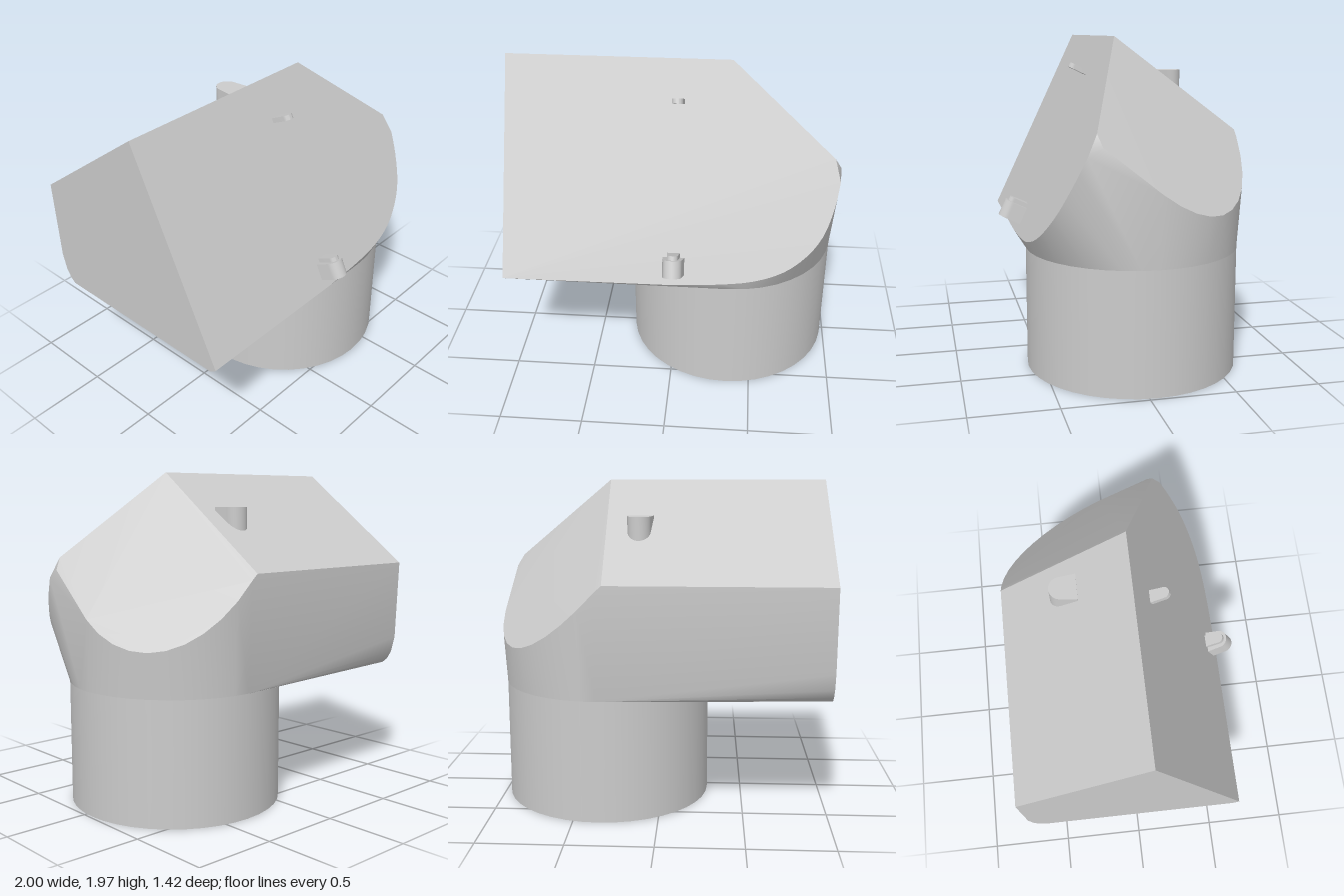
import * as THREE from 'three';
import { ConvexGeometry } from 'three/addons/geometries/ConvexGeometry.js';
import { toCreasedNormals } from 'three/addons/utils/BufferGeometryUtils.js';

const V = (x, y, z) => new THREE.Vector3(x, y, z);
const CX = 0.35, CZ = -0.05, R = 0.635, Y0 = 0.73; // pipe centre, radius and joint height
const SEG = 40;

const frontZ = (y) => 0.05 + (1.965 - y) * 0.473;                             // sloping front plane
const chamferY = (x, z) => (1.065 - 0.511 * x + 0.355 * z) / 0.465;           // sloping corner cut

// D-shaped lug: flat side on the wall, round side out (local y), thickness along local z
function lugGeometry(w, out, thick) {
  const r = w * 0.43;
  const s = new THREE.Shape();
  s.moveTo(-w / 2, 0);
  s.lineTo(w / 2, 0);
  s.lineTo(r, out - r);
  s.absarc(0, out - r, r, 0, Math.PI, false);
  s.closePath();
  const g = new THREE.ExtrudeGeometry(s, { depth: thick, bevelEnabled: false, curveSegments: 8 });
  return toCreasedNormals(g.translate(0, 0, -thick / 2), 0.6);
}

// Convex hood, with its underside left out so that the pipe opens into it
function hoodGeometry() {
  const pts = [];
  // cross-section of the square end
  for (const [z, y] of [[0.05, 1.965], [-0.71, 1.4], [-0.69, 0.91], [-0.665, 0.81],
    [-0.635, 0.76], [-0.6, Y0], [0.58, Y0], [0.62, 0.76]]) pts.push(V(-1, y, z));
  // ridge and back edge where the corner cut starts
  pts.push(V(0.33, 1.965, 0.05), V(0.31, 1.4, -0.71));
  // rounded edge of the sloping front
  const edge = new THREE.CatmullRomCurve3([[0, 0.765], [0.3, 0.78], [0.5, 0.805], [0.67, 0.86],
    [0.8, 0.95], [0.89, 1.06], [0.95, 1.22], [0.975, 1.35]].map(([x, y]) => V(x, y, frontZ(y))));
  pts.push(...edge.getPoints(21), V(0.94, 1.47, frontZ(1.47)), V(0.98, 1.4, 0.26));
  // curved lower edge of the corner cut
  for (let i = 0; i <= 10; i++) {
    const a = (i / 10) * Math.PI / 2;
    const x = CX + 0.65 * Math.cos(a), z = -0.06 - 0.65 * Math.sin(a);
    pts.push(V(x, chamferY(x, z), z));
  }
  // joint with the pipe
  for (let i = 0; i < SEG; i++) {
    const a = (i / SEG) * Math.PI * 2;
    pts.push(V(CX + R * Math.cos(a), Y0, CZ + R * Math.sin(a)));
  }
  const p = new ConvexGeometry(pts).attributes.position;
  const kept = [];
  for (let i = 0; i < p.count; i += 3) {
    const isUnderside = [0, 1, 2].every((k) => p.getY(i + k) < Y0 + 1e-4);
    if (!isUnderside) for (let k = 0; k < 3; k++) kept.push(p.getX(i + k), p.getY(i + k), p.getZ(i + k));
  }
  const g = new THREE.BufferGeometry();
  g.setAttribute('position', new THREE.Float32BufferAttribute(kept, 3));
  g.computeVertexNormals();
  return toCreasedNormals(g, 0.55);
}

export function createModel() {
  const group = new THREE.Group();
  const mat = new THREE.MeshStandardMaterial({ color: 0xcccccc, side: THREE.DoubleSide });
  const add = (name, geometry, x = 0, y = 0, z = 0, rotX = 0) => {
    const m = new THREE.Mesh(geometry, mat);
    m.name = name;
    m.position.set(x, y, z);
    m.rotation.x = rotX;
    group.add(m);
  };

  // open pipe
  add('pipe', new THREE.CylinderGeometry(R, R, Y0, SEG, 1, true), CX, Y0 / 2, CZ);
  add('hood', hoodGeometry());

  // underside of the hood beside the pipe opening
  const plate = new THREE.Shape();
  plate.moveTo(-1, -0.6);
  plate.lineTo(CX, CZ - R);
  plate.absarc(CX, CZ, R, -Math.PI / 2, -Math.PI * 1.5, true);
  plate.lineTo(-1, 0.58);
  plate.closePath();
  add('hoodUnderside', new THREE.ShapeGeometry(plate, SEG / 2), 0, Y0, 0, Math.PI / 2);

  // lugs on the sloping front, square to its surface
  const tilt = 1.128;
  add('upperFrontLug', lugGeometry(0.075, 0.118, 0.03), 0.022, 1.742, 0.155, tilt);
  add('lowerFrontLug', lugGeometry(0.13, 0.134, 0.105), 0.022, 0.868, 0.569, tilt);
  add('lowerFrontLugStep', lugGeometry(0.075, 0.117, 0.08), 0.022, 0.903, 0.552, tilt);

  // upright lug on the back slope
  add('backLug', lugGeometry(0.16, 0.16, 0.32), 0.125, 1.6, -0.25, -Math.PI / 2);
  return group;
}
